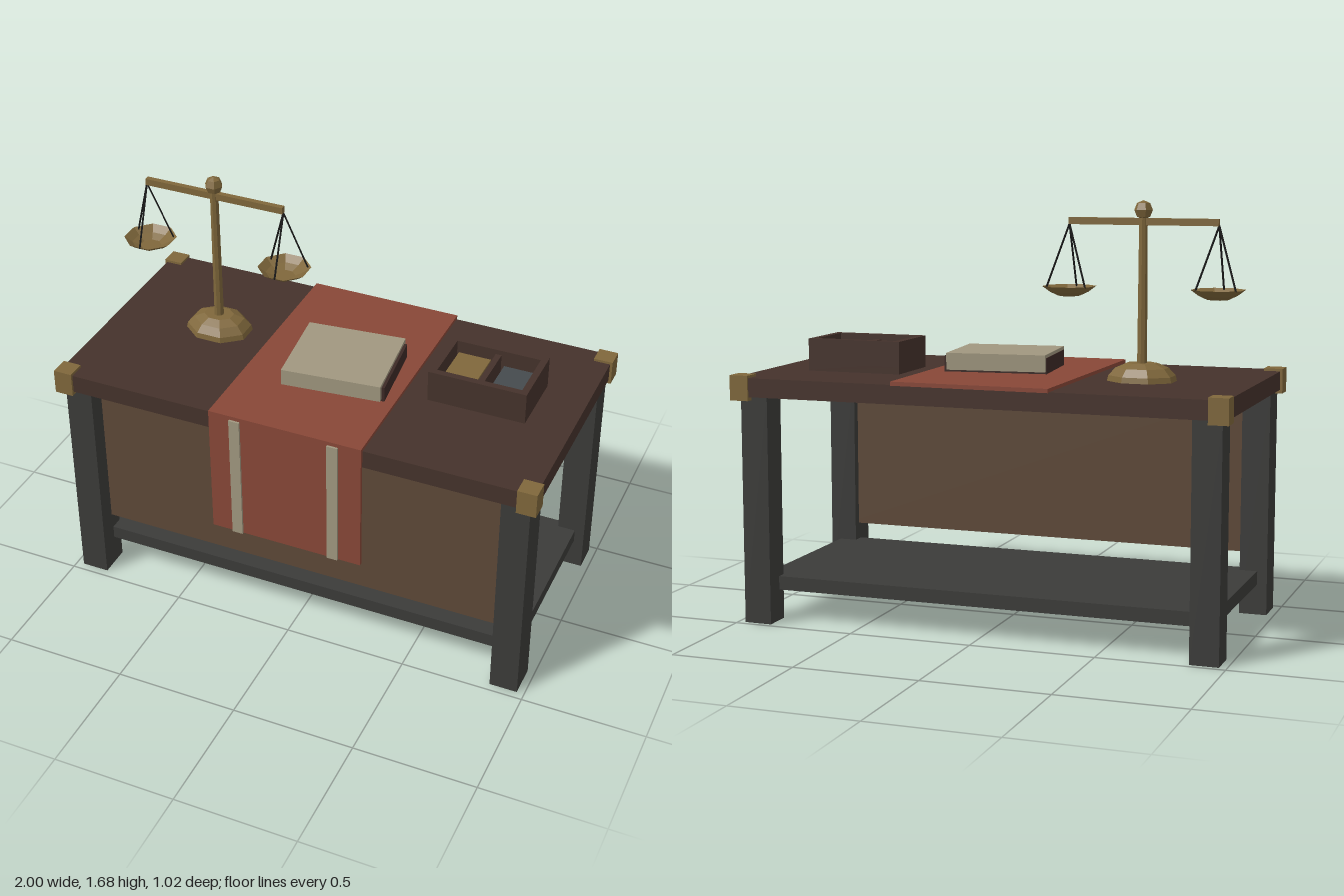
import * as THREE from 'three';

const mat = (color, extra = {}) => new THREE.MeshStandardMaterial({ color, flatShading: true, ...extra });
const wood = mat(0x45322b), panelWood = mat(0x5d4837), iron = mat(0x3b3b39), brass = mat(0x7f673b);
const brassThin = mat(0x7f673b, { side: THREE.DoubleSide });
const red = mat(0x884737), cream = mat(0xa0977f), leather = mat(0x3d2a26), slate = mat(0x454a4d), cord = mat(0x1c1c1c);

export function createModel() {
  const root = new THREE.Group();

  const add = (name, geometry, material, parent = root) => {
    const mesh = new THREE.Mesh(geometry, material);
    mesh.name = name;
    parent.add(mesh);
    return mesh;
  };
  // Box given by its limits along each axis
  const box = (name, [x0, x1], [y0, y1], [z0, z1], material, parent = root) => {
    const mesh = add(name, new THREE.BoxGeometry(x1 - x0, y1 - y0, z1 - z0), material, parent);
    mesh.position.set((x0 + x1) / 2, (y0 + y1) / 2, (z0 + z1) / 2);
    return mesh;
  };
  const group = (name, x = 0, y = 0, z = 0) => {
    const g = new THREE.Group();
    g.name = name;
    g.position.set(x, y, z);
    root.add(g);
    return g;
  };
  // Eight-sided lathe with flat sides facing the axes
  const octagon = (points) =>
    new THREE.LatheGeometry(points.map(([r, y]) => new THREE.Vector2(r, y)), 8, Math.PI / 8);

  // Table
  box('tableTop', [-0.99, 0.99], [0.915, 0.99], [-0.505, 0.487], wood);
  box('shelf', [-0.93, 0.93], [0.125, 0.18], [-0.4, 0.39], iron);
  box('frontPanel', [-0.9, 0.9], [0.25, 0.915], [0.37, 0.395], panelWood);
  for (const s of [-1, 1]) {
    const span = (a, b) => (s < 0 ? [-b, -a] : [a, b]);
    box('frontLeg', span(0.857, 0.97), [0, 0.915], [0.336, 0.468], iron);
    box('backLeg', span(0.857, 0.97), [0, 0.915], [-0.478, -0.362], iron);
    box('frontCornerCap', span(0.923, 1), [0.9, 1], [0.42, 0.497], brass);
    box('backCornerCap', span(0.923, 1), [0.9, 1], [-0.513, -0.436], brass);
  }

  // Cloth runner hanging over the front
  box('runnerTop', [-0.318, 0.315], [0.988, 1.004], [-0.513, 0.5], red);
  box('runnerDrape', [-0.318, 0.315], [0.45, 1.004], [0.488, 0.502], red);
  for (const x of [-0.207, 0.2]) box('runnerStripe', [x - 0.022, x + 0.022], [0.45, 0.988], [0.5, 0.511], cream);

  // Book, turned a little on the runner
  const book = group('book', 0.047, 0, 0.041);
  book.rotation.y = 0.107;
  box('bookBlock', [-0.2, 0.2], [1.013, 1.08], [-0.179, 0.179], cream, book);
  box('bookBinding', [-0.203, 0.212], [1.003, 1.067], [-0.16, 0.16], leather, book);

  // Open tray with two compartments
  const tray = group('tray');
  box('trayFloor', [0.414, 0.81], [0.99, 1.02], [-0.195, 0.08], wood, tray);
  box('trayFrontWall', [0.414, 0.81], [0.99, 1.12], [0.053, 0.08], wood, tray);
  box('trayBackWall', [0.414, 0.81], [0.99, 1.12], [-0.195, -0.168], wood, tray);
  box('trayRightWall', [0.414, 0.441], [0.99, 1.12], [-0.168, 0.053], wood, tray);
  box('trayLeftWall', [0.783, 0.81], [0.99, 1.12], [-0.168, 0.053], wood, tray);
  box('trayDivider', [0.6, 0.624], [1.02, 1.1], [-0.168, 0.053], wood, tray);
  box('brassBlock', [0.452, 0.585], [1.02, 1.075], [-0.158, 0.04], brass, tray);
  box('slateBlock', [0.64, 0.773], [1.02, 1.06], [-0.158, 0.04], slate, tray);

  // Balance scale
  const scale = group('balanceScale', -0.548, 0, -0.058);
  const base = add('scaleBase', octagon([[0, 0.99], [0.112, 0.99], [0.108, 1.012], [0.085, 1.042], [0.05, 1.06], [0, 1.06]]), brass, scale);
  base.scale.x = 1.24;
  const post = add('scalePost', new THREE.CylinderGeometry(0.017, 0.02, 0.59, 8), brass, scale);
  post.position.y = 1.325;
  box('scaleBeam', [-0.297, 0.297], [1.59, 1.617], [-0.011, 0.011], brass, scale);
  add('scaleFinial', new THREE.SphereGeometry(0.037, 6, 4), brass, scale).position.y = 1.648;

  for (const x of [-0.297, 0.297]) {
    const pan = add('scalePan', octagon([[0, 1.312], [0.042, 1.312], [0.075, 1.327], [0.106, 1.35]]), brassThin, scale);
    pan.position.x = x;
    // Three cords from the beam end to the rim
    for (let i = 0; i < 3; i++) {
      const a = Math.PI / 2 + (i * Math.PI * 2) / 3;
      const top = new THREE.Vector3(x, 1.592, 0);
      const end = new THREE.Vector3(x + 0.092 * Math.cos(a), 1.343, 0.092 * Math.sin(a));
      add('panCord', new THREE.TubeGeometry(new THREE.LineCurve3(top, end), 1, 0.004, 4), cord, scale);
    }
  }
  return root;
}
